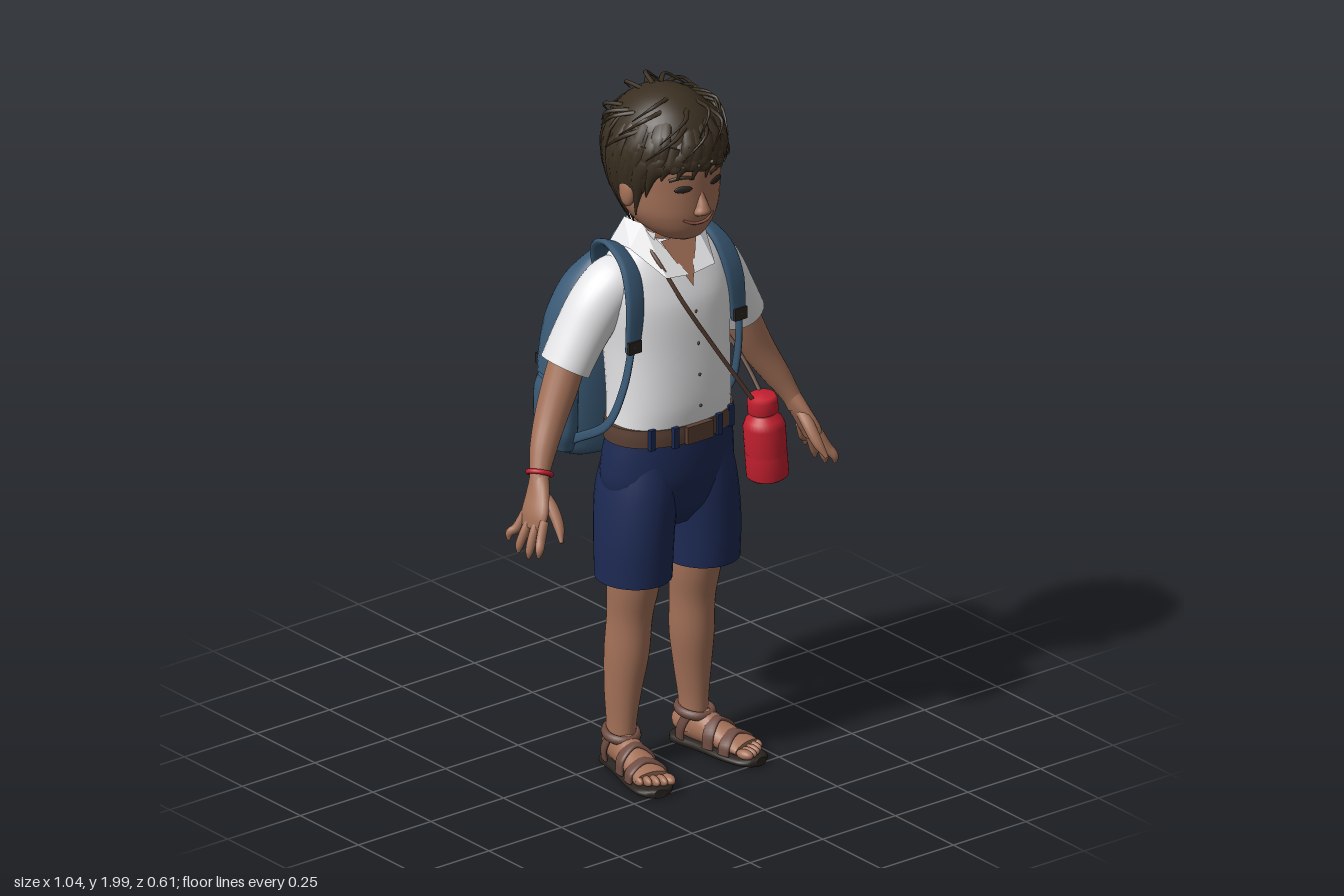
import * as THREE from 'three';

const V = (x, y, z) => new THREE.Vector3(x, y, z);
const mat = (name, color, extra = {}) => Object.assign(new THREE.MeshStandardMaterial({ color, ...extra }), { name });
const M = {
  skin: mat('skin', 0xa57259), shirt: mat('white cotton', 0xe8e8ea, { side: THREE.DoubleSide }),
  navy: mat('navy cloth', 0x1d2a54), pack: mat('blue canvas', 0x3b5b77),
  hair: mat('dark brown hair', 0x3a2f21), red: mat('red', 0xc4202f),
  leather: mat('brown leather', 0x5a4034), sandal: mat('sandal brown', 0x6e4c42),
  dark: mat('near black', 0x2a241f), lips: mat('lips', 0x8a5344),
};

// Closed skin over rings of points, with flat end caps
function skin(rings) {
  const n = rings[0].length, pos = [], idx = [];
  const add = p => pos.push(p.x, p.y, p.z) / 3 - 1;
  rings.forEach(r => r.forEach(add));
  for (let i = 0; i < rings.length - 1; i++) for (let j = 0; j < n; j++) {
    const a = i * n + j, b = i * n + (j + 1) % n;
    idx.push(a, a + n, b, b, a + n, b + n);
  }
  [rings[0], rings[rings.length - 1]].forEach((r, end) => {
    const c = add(r.reduce((s, p) => s.add(p), V(0, 0, 0)).divideScalar(n));
    const ids = r.map(add);
    ids.forEach((id, j) => {
      const next = ids[(j + 1) % n];
      idx.push(...(end ? [c, next, id] : [c, id, next]));
    });
  });
  const g = new THREE.BufferGeometry();
  g.setAttribute('position', new THREE.Float32BufferAttribute(pos, 3));
  g.setIndex(idx);
  g.computeVertexNormals();
  return g;
}

// Rows [x, y, z, ru, rv, power] are smoothed into superellipse sections.
// Without ref the sections stay level; with ref they follow the path, u lying along ref.
function loft(rows, ref = null, seg = 32, steps = 5) {
  const mid = new THREE.CatmullRomCurve3(rows.map(r => V(r[0], r[1], r[2])));
  const rad = new THREE.CatmullRomCurve3(rows.map(r => V(r[3], r[4] ?? r[3], r[5] ?? 2)), false, 'catmullrom', 0.5);
  const rings = [], count = (rows.length - 1) * steps;
  const pw = (c, n) => Math.sign(c) * Math.abs(c) ** (2 / n);
  for (let i = 0; i <= count; i++) {
    const c = mid.getPoint(i / count), r = rad.getPoint(i / count);
    let u = V(1, 0, 0), v = V(0, 0, 1);
    if (ref) {
      const t = mid.getTangent(i / count);
      u = ref.clone().addScaledVector(t, -ref.dot(t)).normalize();
      v = u.clone().cross(t);
    }
    rings.push(Array.from({ length: seg }, (_, j) => {
      const a = j / seg * Math.PI * 2;
      return c.clone().addScaledVector(u, r.x * pw(Math.cos(a), r.z)).addScaledVector(v, r.y * pw(Math.sin(a), r.z));
    }));
  }
  return skin(rings);
}
const X = V(1, 0, 0), Z = V(0, 0, 1);
const cord = (pts, ru, rv, ref = X, n = 2) => loft(pts.map(p => [...p, ru, rv, n]), ref, 10, 6);

export function createModel() {
  const root = new THREE.Group();
  root.name = 'schoolchild';
  const put = (name, geo, m, parent = root, p = [0, 0, 0], s = [1, 1, 1]) => {
    const mesh = new THREE.Mesh(geo, m);
    mesh.name = name;
    mesh.position.set(...p);
    mesh.scale.set(...s);
    parent.add(mesh);
    return mesh;
  };
  const ball = (name, m, p, s, parent = root) => put(name, new THREE.SphereGeometry(1, 20, 14), m, parent, p, s);
  const box = (name, m, p, s) => put(name, new THREE.BoxGeometry(...s), m, root, p);

  // Head and face
  put('head', loft([[0, 1.568, .14, .03, .035], [0, 1.582, .128, .066, .072], [0, 1.615, .105, .104, .113], [0, 1.66, .09, .13, .137],
    [0, 1.73, .077, .141, .154], [0, 1.8, .07, .146, .162], [0, 1.88, .065, .135, .152], [0, 1.94, .065, .08, .1]], null, 40), M.skin);
  put('neck', loft([[0, 1.45, .045, .072, .08], [0, 1.53, .045, .066, .072], [0, 1.66, .05, .07, .08]]), M.skin);
  put('nose', loft([[0, 1.652, .218, .012, .01], [0, 1.666, .23, .025, .023], [0, 1.685, .229, .018, .021], [0, 1.715, .222, .01, .012], [0, 1.74, .215, .006, .01]]), M.skin);
  put('mouth', cord([[-.05, 1.648, .211], [-.022, 1.635, .222], [.022, 1.635, .222], [.05, 1.648, .211]], .004, .005, V(0, 1, 0)), M.lips);
  for (const s of [-1, 1]) {
    ball('eye', M.dark, [s * .056, 1.742, .219], [.026, .01, .005]).rotation.y = s * .33;
    put('eyebrow', cord([[s * .028, 1.772, .23], [s * .06, 1.779, .221], [s * .09, 1.77, .2]], .005, .004, V(0, 1, 0)), M.hair);
    ball('ear', M.skin, [s * .143, 1.715, .085], [.016, .042, .028]);
  }

  // Hair: a cap with a shaped hairline, overlapping locks and loose tufts
  const hairPoint = (a, t, out = 0) => {
    const low = 1.635 + .17 * THREE.MathUtils.smoothstep(Math.sin(a), -.1, .85);
    let y, f, lift = 0;
    if (t < .55) {
      const th = t / .55 * Math.PI / 2;
      y = 1.82 + .162 * Math.cos(th); f = Math.sin(th); lift = out * Math.cos(th);
    } else {
      y = THREE.MathUtils.lerp(1.82, low, (t - .55) / .45);
      f = 1 - .3 * ((1.82 - y) / .19) ** 2;
    }
    return V(Math.cos(a) * (.153 * f + out), y + lift, .067 + Math.sin(a) * (.173 * f + out));
  };
  const hair = new THREE.Group();
  hair.name = 'hair';
  root.add(hair);
  put('hair cap', skin(Array.from({ length: 17 }, (_, i) => Array.from({ length: 40 },
    (_, j) => hairPoint(j / 40 * Math.PI * 2, 1 - i / 16 * .99)))), M.hair, hair);
  let seed = 7;
  const rnd = () => (seed = (seed * 16807) % 2147483647) / 2147483647;
  for (let i = 0; i < 84; i++) {
    const a = i * 2.39996, start = .05 + rnd() * .3, end = .95 + rnd() * .13, twist = .2 + rnd() * .3;
    const rows = [0, .35, .7, 1].map((k, q) => {
      const p = hairPoint(a + twist * k, start + (end - start) * k, [-.003, .003, .004, .003][q]);
      return [p.x, p.y, p.z, [.006, .022, .019, .002][q], [.003, .007, .007, .002][q]];
    });
    put('hair lock', loft(rows, V(-Math.sin(a + .3), 0, Math.cos(a + .3)), 7, 4), M.hair, hair);
  }
  // Pointed fringe over the forehead
  for (let i = 0; i < 9; i++) {
    const a = .5 + i * .27, drop = .012 + rnd() * .025;
    const rows = [[0, .45, .004, .014], [.08, .75, .006, .02], [.16, 1, .004, .012]].map(([d, t, o, r]) => {
      const p = hairPoint(a + d, t, o);
      return [p.x, p.y, p.z, r, .007];
    });
    const tip = hairPoint(a + .24, 1, .001);
    rows.push([tip.x, tip.y - drop, tip.z, .002, .002]);
    put('fringe lock', loft(rows, V(-Math.sin(a), 0, Math.cos(a)), 8, 4), M.hair, hair);
  }
  for (let i = 0; i < 22; i++) {
    const a = i * 2.4, t = .06 + rnd() * .3, h = .012 + rnd() * .012;
    const rows = [[0, -.004, .008], [.2, h, .006], [.5, h * .7, .0015]].map(([d, o, r]) => {
      const p = hairPoint(a + d * 1.5, t + d * .4, o);
      return [p.x, p.y, p.z, r, r * .7];
    });
    put('hair tuft', loft(rows, V(-Math.sin(a), .1, Math.cos(a)), 6, 4), M.hair, hair);
  }

  // Shirt with sleeves, collar, open neck and buttons
  put('shirt', loft([[0, 1.02, .085, .183, .122, 2.3], [0, 1.1, .085, .18, .13, 2.3], [0, 1.25, .075, .185, .132, 2.3],
    [0, 1.38, .065, .198, .128, 2.3], [0, 1.46, .055, .192, .108, 2.3], [0, 1.515, .048, .15, .088, 2.2], [0, 1.555, .045, .08, .07]], null, 40), M.shirt);
  const tri = pts => {
    const g = new THREE.BufferGeometry().setFromPoints(pts.map(p => V(...p)));
    g.computeVertexNormals();
    return g;
  };
  put('open neck', tri([[-.062, 1.56, .128], [0, 1.435, .192], [.062, 1.56, .128]]), M.skin);
  const band = put('collar band', new THREE.CylinderGeometry(.081, .1, .065, 32, 1, true, .85, Math.PI * 2 - 1.7), M.shirt, root, [0, 1.56, .045], [1, 1, 1.05]);
  band.rotation.x = .25;
  for (const s of [-1, 1]) {
    const A = [s * .078, 1.597, .07], B = [s * .008, 1.468, .186], C = [s * .083, 1.475, .182], D = [s * .128, 1.54, .08], E = [s * .085, 1.597, .0], F = [s * .125, 1.535, -.01];
    put('collar flap', tri(s > 0 ? [A, B, C, A, C, D, E, A, D, E, D, F] : [A, C, B, A, D, C, E, D, A, E, F, D]), M.shirt);
    put('sleeve', loft([[s * .3, 1.22, .015, .075, .068], [s * .255, 1.3, .02, .077, .072], [s * .2, 1.385, .03, .08, .078],
      [s * .15, 1.44, .04, .078, .072], [s * .1, 1.465, .045, .06, .05]], Z), M.shirt);
  }
  [[1.36, .197], [1.27, .208], [1.18, .213], [1.09, .217]].forEach(([y, z]) => ball('shirt button', M.leather, [.006, y, z], [.0045, .0045, .003]));

  // Shorts and belt
  put('shorts seat', loft([[0, .72, .08, .09, .06], [0, .78, .078, .17, .105], [0, .86, .077, .203, .13], [0, .93, .08, .202, .133],
    [0, 1.0, .085, .191, .126], [0, 1.03, .085, .188, .124]], null, 40), M.navy);
  put('belt', loft([[0, .99, .085, .197, .131, 2.1], [0, 1.015, .085, .197, .132, 2.1], [0, 1.04, .085, .194, .13, 2.1]], null, 40), M.leather);
  box('belt buckle', M.leather, [.0, 1.015, .219], [.09, .05, .012]);
  for (const x of [-.135, -.075, .075, .135]) box('belt loop', M.navy, [x, 1.015, .085 + .135 * Math.sqrt(1 - (x / .197) ** 2)], [.018, .06, .012]);

  for (const s of [-1, 1]) {
    put('shorts leg', loft([[s * .117, .58, .08, .103, .11], [s * .115, .7, .08, .104, .118], [s * .103, .83, .075, .102, .126], [s * .088, .95, .08, .09, .11]]), M.navy);
    // Bare leg
    put('leg', loft([[s * .124, .05, .035, .038, .045], [s * .124, .13, .037, .037, .047], [s * .12, .22, .038, .046, .056], [s * .112, .34, .045, .058, .067],
      [s * .108, .45, .053, .06, .067], [s * .106, .54, .065, .069, .075], [s * .106, .66, .075, .075, .085]]), M.skin);

    // Foot and sandal
    const foot = new THREE.Group();
    foot.name = 'sandalled foot';
    foot.position.set(s * .127, 0, .04);
    foot.rotation.y = s * .2;
    root.add(foot);
    put('sole', loft([[0, .014, -.07, .025, .013, 3], [0, .014, -.05, .042, .014, 3], [0, .014, .03, .044, .014, 3], [0, .014, .13, .056, .014, 2.6],
      [0, .014, .195, .055, .014, 2.4], [0, .014, .222, .04, .014, 2.4], [0, .014, .234, .02, .012, 2.2]], X, 24), M.dark, foot);
    put('foot', loft([[0, .05, -.062, .02, .02], [0, .062, -.04, .037, .04], [0, .065, .03, .04, .05], [0, .052, .1, .047, .034], [0, .042, .185, .051, .02]], X, 20), M.skin, foot);
    for (let i = 0; i < 5; i++) ball('toe', M.skin, [s * (-.038 + i * .0195), .04, .207 - i * i * .002], [i ? .011 : .016, .014, .027], foot);
    for (const [z, w, h] of [[.145, .054, .075], [.085, .049, .098]])
      put('foot strap', cord([[-w, .025, z], [-w * .9, h * .7, z], [0, h, z - .01], [w * .9, h * .7, z], [w, .025, z]], .019, .006, Z, 3), M.sandal, foot);
    const ankle = put('ankle strap', new THREE.TorusGeometry(.043, .01, 8, 28), M.sandal, foot, [0, .105, 0], [1, 1.18, 1.4]);
    ankle.rotation.x = Math.PI / 2 + .12;
    for (const k of [-1, 1]) put('side strap', cord([[k * .04, .025, -.02], [k * .046, .06, -.012], [k * .043, .105, .01]], .014, .005, Z, 3), M.sandal, foot);

    // Arm, palm and fingers
    put('arm', loft([[s * .275, 1.28, .015, .05], [s * .315, 1.18, .018, .051], [s * .36, 1.09, .028, .045], [s * .402, 1.015, .048, .037],
      [s * .432, .955, .07, .028, .027], [s * .445, .92, .08, .032, .024]], Z, 20), M.skin);
    put('palm', loft([[s * .432, .955, .07, .027, .025], [s * .453, .905, .088, .042, .022], [s * .473, .86, .1, .05, .019], [s * .483, .825, .103, .042, .012]], Z, 20), M.skin);
    [[.06, .036, .775], [.088, .078, .752], [.117, .122, .75], [.142, .165, .765]].forEach(([z0, z1, y]) =>
      put('finger', loft([[s * .473, .855, z0, .013], [s * .494, .81, (z0 + z1) / 2, .0135], [s * .508, y + .02, z1, .0115], [s * .511, y, z1, .004]], Z, 10), M.skin));
    put('thumb', loft([[s * .446, .92, .09, .016], [s * .442, .885, .135, .017], [s * .446, .84, .172, .014], [s * .457, .805, .196, .005]], X, 10), M.skin);

    // Backpack straps and side pockets
    put('shoulder strap', loft([[s * .09, 1.4, -.08, .032, .01, 3], [s * .12, 1.5, -.05, .034, .01, 3], [s * .145, 1.538, .03, .034, .01, 3],
      [s * .157, 1.505, .11, .034, .01, 3], [s * .17, 1.42, .153, .031, .01, 3], [s * .182, 1.28, .158, .023, .009, 3]], V(1, -.5, 0), 12), M.pack);
    put('lower strap', cord([[s * .184, 1.3, .16], [s * .196, 1.17, .138], [s * .208, 1.05, .085], [s * .205, .95, -.07]], .013, .005, Z, 3), M.pack);
    box('strap buckle', M.dark, [s * .182, 1.295, .164], [.042, .035, .016]);
    put('side pocket', loft([[s * .205, .91, -.13, .025, .05, 2.5], [s * .215, .97, -.13, .036, .075, 2.5], [s * .215, 1.07, -.13, .037, .078, 2.5], [s * .208, 1.11, -.13, .035, .07, 2.5]]), M.pack);
    box('zip pull', M.dark, [s * .188, 1.13, -.232], [.022, .03, .016]);
  }

  // Backpack
  put('backpack body', loft([[0, .88, -.14, .17, .06, 3], [0, .905, -.145, .218, .095, 3], [0, 1.0, -.15, .232, .108, 3], [0, 1.15, -.152, .222, .113, 3],
    [0, 1.28, -.152, .195, .108, 2.8], [0, 1.37, -.146, .152, .087, 2.5], [0, 1.435, -.135, .09, .05], [0, 1.455, -.13, .03, .02]], null, 40), M.pack);
  put('front pocket', loft([[0, .9, -.215, .12, .04, 2.5], [0, .94, -.23, .155, .066, 2.5], [0, 1.04, -.235, .163, .07, 2.5],
    [0, 1.12, -.228, .157, .058, 2.5], [0, 1.165, -.215, .135, .035, 2.5]], null, 36), M.pack);
  box('pocket zip pull', M.dark, [.04, 1.13, -.282], [.025, .02, .012]);
  put('zip seam', cord([[-.2, 1.12, -.222], [-.178, 1.26, -.215], [-.12, 1.37, -.194], [0, 1.425, -.17], [.12, 1.37, -.194], [.178, 1.26, -.215], [.2, 1.12, -.222]], .007, .007, Z), M.pack);
  put('carry handle', cord([[-.045, 1.42, -.1], [-.038, 1.49, -.095], [0, 1.515, -.092], [.038, 1.49, -.095], [.045, 1.42, -.1]], .014, .008, Z, 3), M.pack);

  // Drinking bottle on its cord
  const profile = [[0, 0], [.05, 0], [.058, .008], [.058, .07], [.055, .075], [.058, .08], [.058, .155], [.05, .175], [.036, .188],
    [.036, .195], [.042, .197], [.042, .232], [.036, .245], [0, .247]].map(p => new THREE.Vector2(...p));
  const bottle = put('drinking bottle', new THREE.LatheGeometry(profile, 32), M.red, root, [.21, .838, .25]);
  bottle.rotation.z = .08;
  put('bottle cord, chest', cord([[.17, 1.06, .25], [.05, 1.25, .222], [-.04, 1.4, .198], [-.08, 1.5, .155], [-.085, 1.56, .08]], .006, .006, V(.6, .5, .62)), M.leather);
  put('bottle cord, side', cord([[.17, 1.26, .04], [.197, 1.2, .1], [.207, 1.13, .17], [.205, 1.06, .24]], .006, .006), M.leather);

  // Wrist band on the right arm
  const wrist = put('wrist band', new THREE.TorusGeometry(.032, .007, 10, 28), M.red, root, [-.43, .96, .068]);
  wrist.quaternion.setFromUnitVectors(Z, V(-.42, -.85, .31).normalize());
  return root;
}
